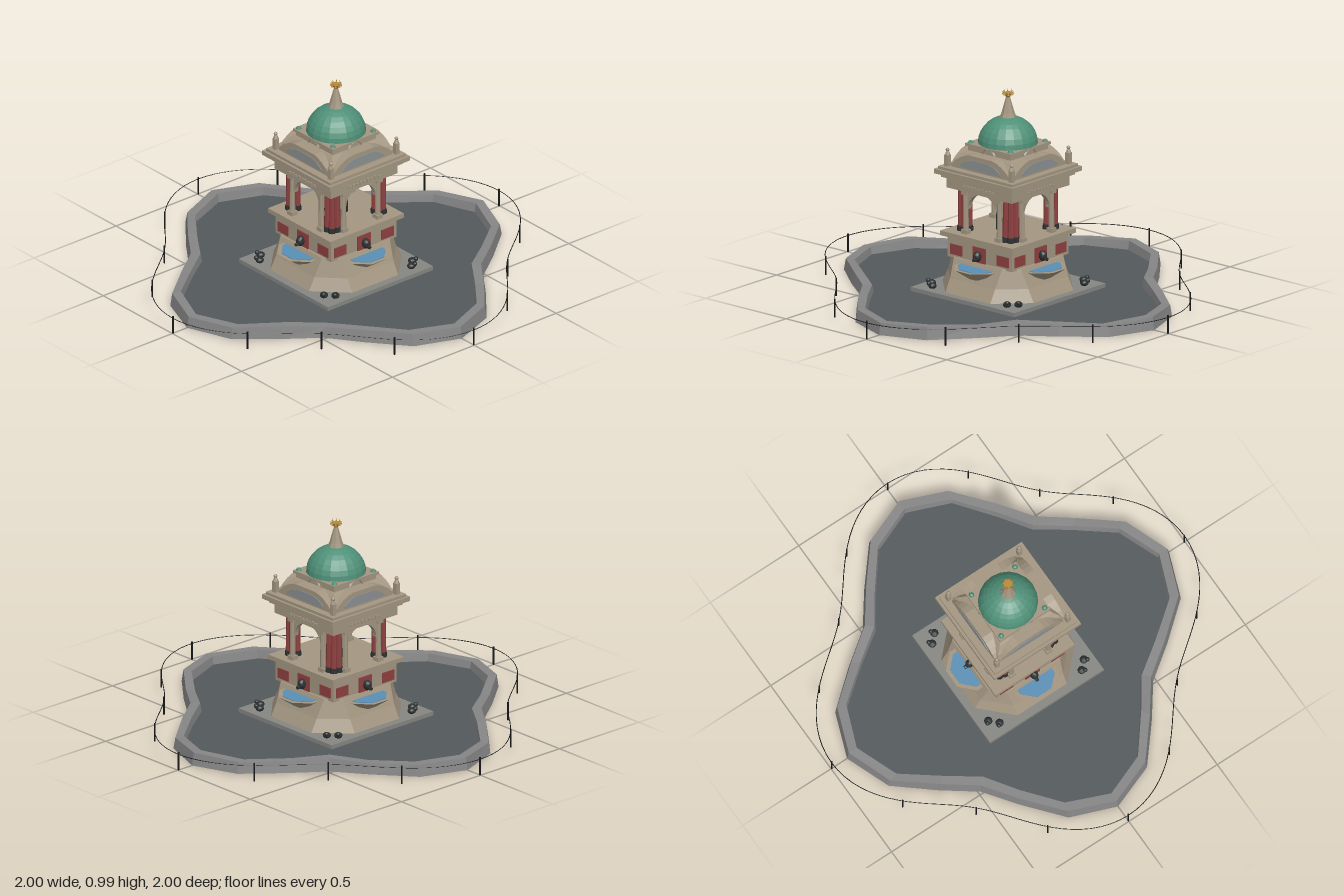
import * as THREE from 'three';

const mat = (color) => new THREE.MeshStandardMaterial({ color, flatShading: true, side: THREE.DoubleSide });
const M = {
  stone: mat(0xa39681), red: mat(0x8f4040), green: mat(0x4f9078), curb: mat(0x858585), floor: mat(0x53585c),
  slab: mat(0x858582), dark: mat(0x2b3030), blue: mat(0x5a8fb5), gold: mat(0xb58a38), iron: mat(0x151515), inset: mat(0x8b9092),
};

function add(parent, name, geo, material, x = 0, y = 0, z = 0) {
  const m = new THREE.Mesh(geo, material);
  m.name = name;
  m.position.set(x, y, z);
  parent.add(m);
  return m;
}
const box = (w, h, d = w) => new THREE.BoxGeometry(w, h, d);
const cyl = (rt, rb, h, n = 8) => new THREE.CylinderGeometry(rt, rb, h, n);

// Square block given by half width, bottom and top
const block = (parent, name, half, y0, y1, material = M.stone) =>
  add(parent, name, box(half * 2, y1 - y0), material, 0, (y0 + y1) / 2, 0);

// Surface through cross-section loops of [x, y, z], each counter-clockwise from above
function loft(sections) {
  const pos = [];
  const n = sections[0].length;
  for (let s = 0; s < sections.length - 1; s++) {
    const a = sections[s], b = sections[s + 1];
    for (let i = 0; i < n; i++) {
      const j = (i + 1) % n;
      pos.push(...a[i], ...a[j], ...b[j], ...a[i], ...b[j], ...b[i]);
    }
  }
  const g = new THREE.BufferGeometry();
  g.setAttribute('position', new THREE.Float32BufferAttribute(pos, 3));
  g.computeVertexNormals();
  return g;
}

// Four-lobed outline shared by basin and railing
const lobed = (base, wave, n, y) => Array.from({ length: n }, (_, i) => {
  const t = (i / n) * Math.PI * 2;
  const r = base + wave * Math.cos(4 * t);
  return [r * Math.sin(t), typeof y === 'function' ? y(i) : y, r * Math.cos(t)];
});
// Chamfered square loop: half size d, half length h of each straight side
const octagon = (d, h, y) => [[-h, d], [h, d], [d, h], [d, -h], [h, -d], [-h, -d], [-d, -h], [-d, h]]
  .map(([x, z]) => [x, y, z]);

function makePond(root) {
  const top = (i) => 0.057 + 0.006 * Math.sin(i * 2.3);
  const outer = lobed(0.8, 0.11, 24, 0);
  add(root, 'pondCurb', loft([
    outer, lobed(0.79, 0.11, 24, top), lobed(0.745, 0.11, 24, top), lobed(0.735, 0.11, 24, 0), outer,
  ]), M.curb);
  const shape = new THREE.Shape(lobed(0.742, 0.11, 24, 0).map(([x, , z]) => new THREE.Vector2(x, z)));
  const floor = new THREE.ExtrudeGeometry(shape, { depth: 0.015, bevelEnabled: false }).rotateX(-Math.PI / 2);
  add(root, 'pondFloor', floor, M.floor, 0, 0.003, 0);

  // Thin railing on sixteen posts
  const curve = new THREE.CatmullRomCurve3(lobed(0.9, 0.098, 64, 0.08).map((p) => new THREE.Vector3(...p)), true);
  add(root, 'railing', new THREE.TubeGeometry(curve, 128, 0.002, 4, true), M.iron);
  for (const [x, , z] of lobed(0.9, 0.096, 16, 0)) add(root, 'railingPost', cyl(0.004, 0.004, 0.09, 6), M.iron, x, 0.045, z);
}

// Everything repeated on each of the four sides, built facing +z
function makeSide() {
  const g = new THREE.Group();
  g.name = 'side';
  // Half bowl with water
  const bowl = add(g, 'bowl', cyl(0.125, 0.05, 0.05).rotateY(Math.PI / 8), M.stone, 0, 0.145, 0.205);
  const water = add(g, 'bowlWater', cyl(0.105, 0.105, 0.004).rotateY(Math.PI / 8), M.blue, 0, 0.171, 0.205);
  bowl.scale.z = water.scale.z = 0.98;

  // Red panels and spout head
  for (const x of [-0.145, 0.145]) add(g, 'panel', box(0.075, 0.05, 0.008), M.red, x, 0.226, 0.2);
  add(g, 'centrePanel', box(0.08, 0.075, 0.012), M.red, 0, 0.228, 0.2);
  const head = add(g, 'spoutHead', new THREE.IcosahedronGeometry(0.022, 1), M.dark, 0, 0.225, 0.217);
  head.scale.set(0.9, 1.2, 1);
  add(g, 'spout', cyl(0.008, 0.012, 0.03, 6).rotateX(Math.PI / 2), M.dark, 0, 0.213, 0.232);

  // Arch between slender columns
  const arch = new THREE.Shape();
  arch.moveTo(-0.12, 0.43);
  arch.lineTo(-0.09, 0.43);
  arch.absellipse(0, 0.43, 0.09, 0.085, Math.PI, 0, true);
  arch.lineTo(0.12, 0.43);
  arch.lineTo(0.12, 0.53);
  arch.lineTo(-0.12, 0.53);
  add(g, 'arch', new THREE.ExtrudeGeometry(arch, { depth: 0.025, bevelEnabled: false, curveSegments: 8 }), M.stone, 0, 0, 0.155);
  for (const x of [-0.105, 0.105]) {
    add(g, 'column', cyl(0.012, 0.014, 0.21), M.stone, x, 0.415, 0.178);
    add(g, 'columnBase', box(0.034, 0.02), M.stone, x, 0.32, 0.178);
    add(g, 'columnCapital', box(0.034, 0.02), M.stone, x, 0.51, 0.178);
  }

  // Carved frieze
  for (let i = -4; i <= 4; i++) {
    add(g, 'friezeCarving', box(0.012, 0.012 + 0.006 * (i & 1), 0.008), M.stone, i * 0.022, 0.545, 0.206);
  }

  // Segmental pediment with inset
  const pediment = (w, h) => {
    const s = new THREE.Shape();
    s.moveTo(-w, 0);
    s.lineTo(w, 0);
    s.lineTo(w, h * 0.2);
    s.quadraticCurveTo(w * 0.75, h * 0.85, w * 0.4, h);
    s.lineTo(-w * 0.4, h);
    s.quadraticCurveTo(-w * 0.75, h * 0.85, -w, h * 0.2);
    return s;
  };
  const solid = (w, h, depth) => new THREE.ExtrudeGeometry(pediment(w, h), { depth, bevelEnabled: false, curveSegments: 4 });
  add(g, 'pediment', solid(0.18, 0.08, 0.07), M.stone, 0, 0.62, 0.125);
  add(g, 'pedimentInset', solid(0.125, 0.045, 0.004), M.inset, 0, 0.634, 0.194);
  add(g, 'drumArch', new THREE.TorusGeometry(0.04, 0.006, 4, 8, Math.PI), M.stone, 0, 0.692, 0.137);
  return g;
}

// One corner, built at +x +z
function makeCorner() {
  const g = new THREE.Group();
  g.name = 'corner';
  for (const [x, z] of [[0.128, 0.16], [0.16, 0.128], [0.155, 0.155], [0.128, 0.128]]) {
    add(g, 'redColumn', cyl(0.014, 0.016, 0.21), M.red, x, 0.415, z);
    add(g, 'redColumnBase', cyl(0.018, 0.02, 0.025), M.dark, x, 0.322, z);
  }
  // Roof pinnacle
  add(g, 'pinnacle', box(0.022, 0.06), M.stone, 0.2, 0.65, 0.2);
  add(g, 'pinnacleTip', cyl(0.006, 0.014, 0.02, 6), M.stone, 0.2, 0.69, 0.2);
  add(g, 'pinnacleBall', new THREE.IcosahedronGeometry(0.009, 1), M.stone, 0.2, 0.704, 0.2);
  add(g, 'cornerCupola', new THREE.SphereGeometry(0.014, 8, 4), M.green, 0.123, 0.735, 0.123);
  // Pair of crouching frogs on the slab
  for (const [x, z] of [[0.27, 0.232], [0.232, 0.27]]) {
    const body = add(g, 'frogBody', new THREE.IcosahedronGeometry(0.02, 1), M.dark, x, 0.05, z);
    body.scale.set(1, 0.75, 1);
    add(g, 'frogHead', new THREE.IcosahedronGeometry(0.011, 1), M.dark, x + 0.012, 0.061, z + 0.012);
  }
  return g;
}

export function createModel() {
  const root = new THREE.Group();
  root.name = 'fountainPavilion';
  makePond(root);

  // Plinth and panelled block
  block(root, 'slab', 0.322, 0.01, 0.038, M.slab);
  add(root, 'flaredPlinth', loft([octagon(0.285, 0.14, 0.035), octagon(0.25, 0.14, 0.1), octagon(0.212, 0.15, 0.192), octagon(0, 0, 0.192)]), M.stone);
  block(root, 'panelBlock', 0.2, 0.185, 0.29);
  block(root, 'blockCornice', 0.225, 0.288, 0.31);

  // Bust on a pedestal
  add(root, 'bustPedestal', box(0.08, 0.085), M.dark, 0, 0.352, 0);
  add(root, 'bust', new THREE.LatheGeometry(
    [[0.04, 0.39], [0.036, 0.405], [0.016, 0.412], [0.016, 0.42], [0.032, 0.43], [0.026, 0.445], [0.01, 0.452], [0.022, 0.47], [0.016, 0.486], [0, 0.49]]
      .map(([r, y]) => new THREE.Vector2(r, y)), 8), M.dark);

  // Entablature and stepped cornice
  block(root, 'entablature', 0.203, 0.52, 0.58);
  block(root, 'corniceLower', 0.222, 0.572, 0.592);
  block(root, 'corniceUpper', 0.245, 0.59, 0.612);
  block(root, 'corniceTop', 0.232, 0.61, 0.625);

  // Curved hip roof and drum
  const square = (d, y) => [[-d, y, d], [d, y, d], [d, y, -d], [-d, y, -d]];
  add(root, 'hipRoof', loft([square(0.19, 0.62), square(0.175, 0.66), square(0.15, 0.69), square(0.14, 0.7), square(0, 0.7)]), M.stone);
  block(root, 'drum', 0.132, 0.69, 0.73);
  block(root, 'drumCornice', 0.142, 0.722, 0.735);

  // Dome, finial and gilded crown
  const dome = add(root, 'dome', new THREE.SphereGeometry(0.141, 20, 8, 0, Math.PI * 2, 0, Math.PI / 2), M.green, 0, 0.733, 0);
  dome.scale.y = 0.93;
  add(root, 'finialBase', cyl(0.032, 0.038, 0.018), M.stone, 0, 0.87, 0);
  add(root, 'finialCone', cyl(0.01, 0.032, 0.08), M.stone, 0, 0.915, 0);
  add(root, 'crownCup', cyl(0.022, 0.008, 0.025), M.gold, 0, 0.965, 0);
  for (let i = 0; i < 8; i++) {
    const a = (i * Math.PI) / 4;
    add(root, 'crownPoint', new THREE.ConeGeometry(0.007, 0.022, 4), M.gold, 0.023 * Math.sin(a), 0.98, 0.023 * Math.cos(a));
  }

  for (let i = 0; i < 4; i++) {
    for (const part of [makeSide(), makeCorner()]) {
      part.rotation.y = (i * Math.PI) / 2;
      root.add(part);
    }
  }
  return root;
}
